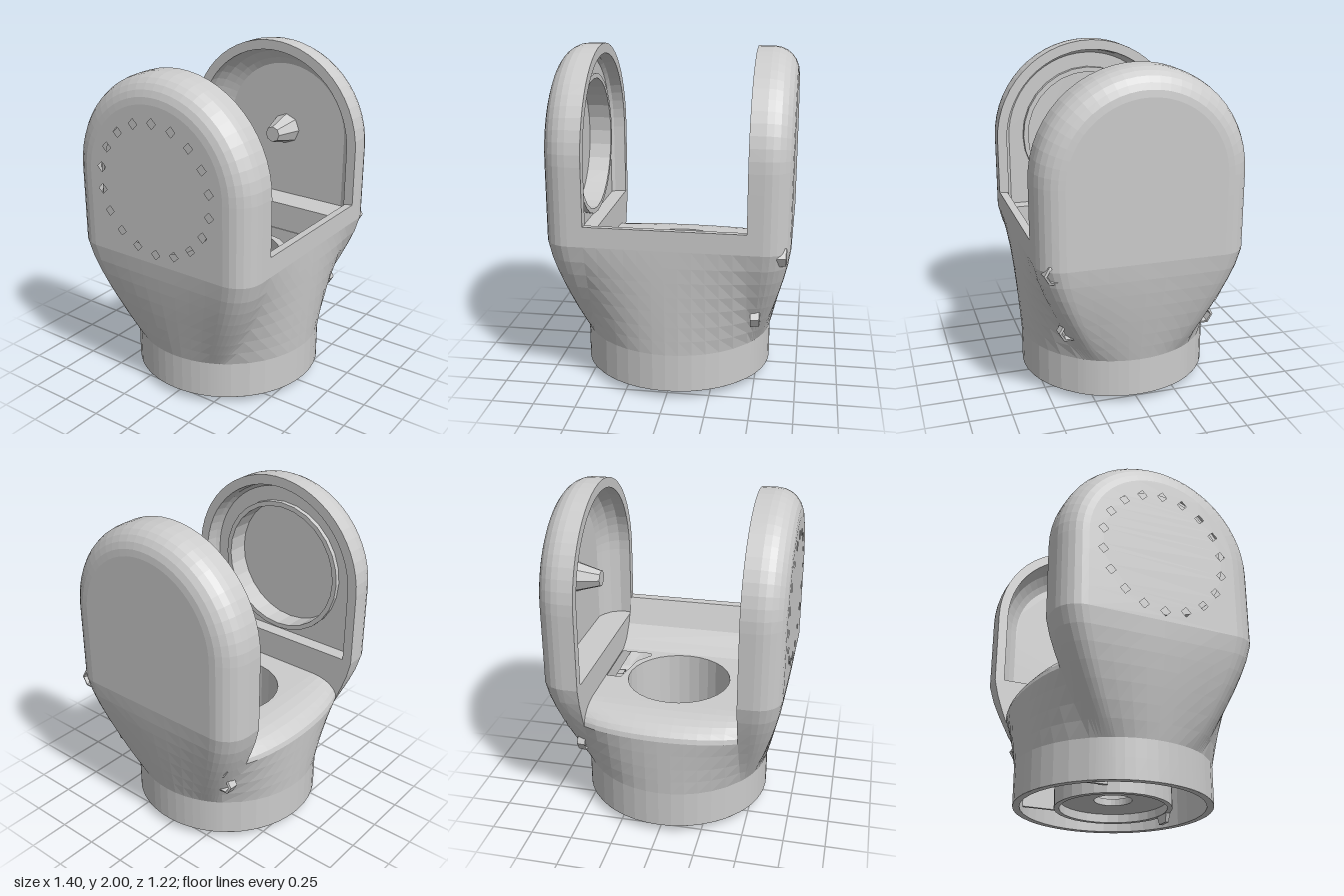
import * as THREE from 'three';

const IN = 0.46, OUT = 0.70, HZ = 0.61, ROUND = 0.15;  // arm inner x, outer x, half depth, edge rounding
const R0 = 0.575, SHOULDER = 0.93, PIVOT = 1.39, BACK = 0.65, DECK = 0.76;

const material = new THREE.MeshStandardMaterial({ color: 0xcccccc, flatShading: true, side: THREE.DoubleSide });

function add(parent, name, geometry) {
  const mesh = new THREE.Mesh(geometry, material);
  mesh.name = name;
  parent.add(mesh);
  return mesh;
}

// Surface over a grid; f(i, j) returns [x, y, z]
function grid(nu, nv, f) {
  const pos = [], idx = [];
  for (let i = 0; i <= nu; i++) for (let j = 0; j <= nv; j++) pos.push(...f(i, j));
  for (let i = 0; i < nu; i++) for (let j = 0; j < nv; j++) {
    const a = i * (nv + 1) + j, b = a + nv + 1;
    idx.push(a, b, a + 1, b, b + 1, a + 1);
  }
  const g = new THREE.BufferGeometry();
  g.setAttribute('position', new THREE.Float32BufferAttribute(pos, 3));
  g.setIndex(idx);
  g.computeVertexNormals();
  return g;
}

// Flat plate in the z-y plane at a given x
function plate(points, holes, x) {
  const toV = (p) => new THREE.Vector2(p[0], p[1]);
  const shape = new THREE.Shape(points.map(toV));
  for (const h of holes) shape.holes.push(new THREE.Path(h.map(toV)));
  const g = new THREE.ShapeGeometry(shape);
  const p = g.attributes.position;
  for (let i = 0; i < p.count; i++) p.setXYZ(i, x, p.getY(i), p.getX(i));
  g.computeVertexNormals();
  return g;
}

// Arch outline as [z, y]: up the front, over the pivot, down the back
function arch(r) {
  const pts = [];
  for (let i = 0; i < 4; i++) pts.push([r, SHOULDER + (PIVOT - SHOULDER) * i / 4]);
  for (let i = 0; i <= 28; i++) {
    const a = Math.PI * i / 28;
    pts.push([r * Math.cos(a), PIVOT + r * Math.sin(a)]);
  }
  for (let i = 3; i >= 0; i--) pts.push([-r, SHOULDER + (PIVOT - SHOULDER) * i / 4]);
  return pts;
}

const circle = (r, n, cz = 0, cy = PIVOT) => Array.from({ length: n }, (_, i) => {
  const a = 2 * Math.PI * i / n;
  return [cz + r * Math.cos(a), cy + r * Math.sin(a)];
});

// Blend from the round collar (0) to the squared shoulder (1)
function blend(y) {
  const t = THREE.MathUtils.clamp((y - 0.28) / (SHOULDER - 0.28), 0, 1);
  return 1 - Math.pow(1 - t, 1.3);
}
const centreZ = (x, y) => THREE.MathUtils.lerp(Math.sqrt(R0 * R0 - x * x), HZ, blend(y));

// Shoulder section of one side, front to back, as [x, z]
const CORNER = 6;
const corner = Array.from({ length: CORNER + 1 }, (_, i) => {
  const a = Math.PI / 2 * i / CORNER;
  return [OUT - ROUND + ROUND * Math.sin(a), HZ - ROUND + ROUND * Math.cos(a)];
});
const sidePath = [[IN, HZ], ...corner];
for (let i = 1; i < 8; i++) sidePath.push([OUT, (HZ - ROUND) * (1 - i / 4)]);
sidePath.push(...[...corner].reverse().map(([x, z]) => [x, -z]), [IN, -HZ]);

function sidePoint(k, y) {
  const [x, z] = sidePath[k], t = blend(y);
  const a = Math.atan2(z, x) * Math.acos(IN / R0) / Math.atan2(HZ, IN);
  return [THREE.MathUtils.lerp(R0 * Math.cos(a), x, t), y, THREE.MathUtils.lerp(R0 * Math.sin(a), z, t)];
}

// Heights of the rows that make up the lower body
const rows = (top) => [0.05, 0.17, 0.28, 0.37, 0.46, 0.56, BACK, 0.74, 0.83, SHOULDER, 1.05].filter((y) => y <= top);

function buildBody(root) {
  const body = new THREE.Group();
  body.name = 'body';
  root.add(body);
  const N = 12, xAt = (i) => -IN + 2 * IN * i / N;
  for (const [name, s, top] of [['frontWall', 1, 1.05], ['backWall', -1, BACK]]) {
    const ys = rows(top);
    add(body, name, grid(N, ys.length - 1, (i, j) => [xAt(i), ys[j], s * centreZ(xAt(i), ys[j])]));
  }
  const ys = rows(SHOULDER);
  for (const s of [1, -1]) {
    add(body, s > 0 ? 'leftFlank' : 'rightFlank', grid(sidePath.length - 1, ys.length - 1, (i, j) => {
      const [x, y, z] = sidePoint(i, ys[j]);
      return [s * x, y, z];
    }));
  }

  // Inside and lower edge of the collar
  add(body, 'collarLining', new THREE.LatheGeometry(
    [[R0, 0.05], [0.535, 0.05], [0.535, 0.3]].map((p) => new THREE.Vector2(...p)), 40));

  // Deck with the well opening and the side notch
  const deck = new THREE.Shape([[-IN, -0.34], [IN, -0.34], [IN, 0.34], [-IN, 0.34]].map((p) => new THREE.Vector2(...p)));
  deck.holes.push(new THREE.Path().absarc(0, 0, 0.325, 0, Math.PI * 2, true));
  deck.holes.push(new THREE.Path([[0.365, 0.06], [0.455, 0.06], [0.455, -0.3], [0.26, -0.3], [0.25, -0.27], [0.32, -0.18]]
    .map((p) => new THREE.Vector2(...p))));
  add(body, 'deck', new THREE.ShapeGeometry(deck, 24).rotateX(-Math.PI / 2).translate(0, DECK, 0));
  const rise = [[0.34, DECK], [0.42, 0.80], [0.49, 0.88], [0.56, 1.045], [HZ, 1.05]];
  add(body, 'deckFrontRise', grid(1, rise.length - 1, (i, j) => [i ? IN : -IN, rise[j][1], rise[j][0]]));
  add(body, 'deckBackRoll', grid(N, 6, (i, j) => {
    const a = Math.PI / 2 * j / 6, zb = centreZ(xAt(i), BACK);
    return [xAt(i), BACK + (DECK - BACK) * Math.cos(a), -0.34 - (zb - 0.34) * Math.sin(a)];
  }));

  // Central well with a bored floor, and the key peg below it
  const well = [[0.11, 0.14], [0.32, 0.14], [0.32, DECK], [0.34, DECK], [0.34, 0.05], [0.31, 0.05], [0.31, 0.1], [0.11, 0.1], [0.11, 0.14]];
  add(body, 'well', new THREE.LatheGeometry(well.map((p) => new THREE.Vector2(...p)), 30));
  const peg = add(body, 'keyPeg', new THREE.CylinderGeometry(0.085, 0.055, 0.06, 4, 1).rotateY(Math.PI / 4));
  peg.scale.z = 0.25;
  peg.position.set(0, 0.03, 0.325);

  // Thin ribs between well and collar
  for (const x of [-0.3, 0.3]) {
    const rib = add(body, 'rib', new THREE.BoxGeometry(0.02, 0.3, 0.28));
    rib.position.set(x, 0.24, -0.31);
  }
}

function buildArm(root, s) {
  const arm = new THREE.Group();
  arm.name = s > 0 ? 'leftArm' : 'rightArm';
  root.add(arm);

  // Outer band with a rounded outer edge
  const layers = [[IN, HZ], ...corner].map(([x, r]) => ({ x, pts: arch(r) }));
  add(arm, 'outerBand', grid(layers[0].pts.length - 1, layers.length - 1, (i, j) => {
    const [z, y] = layers[j].pts[i];
    return [s * layers[j].x, y, z];
  }));

  // Outer face; the right one carries a ring of small slots
  const slots = s > 0 ? [] : Array.from({ length: 18 }, (_, i) => {
    const a = 2 * Math.PI * (i + 0.5) / 18;
    return circle(0.03, 4, 0.38 * Math.cos(a), PIVOT - 0.02 + 0.38 * Math.sin(a));
  });
  add(arm, 'outerFace', plate(arch(HZ - ROUND), slots, s * OUT));

  // Inner rim, continued down to the deck
  const R = 0.55, edge = [BACK, 0.74, 0.83].map((y) => [centreZ(IN, y), y]);
  const rim = [...edge, ...arch(HZ), ...[...edge].reverse().map(([z, y]) => [-z, y])];
  const recess = (r) => arch(r).map(([z, y]) => [z, Math.max(y, SHOULDER + 0.01)]);
  add(arm, 'innerRim', plate(rim, [recess(R)], s * IN));

  // Recess walls from rim to back plate: [x, size]
  const steps = s > 0
    ? [[IN, R], [0.53, R], [0.59, 0.52], [0.63, 0.47], [0.65, 0.43]]
    : [[IN, R], [0.53, 0.54], [0.55, 0.52]];
  const rings = steps.map(([x, r]) => ({ x, pts: recess(r) }));
  const n = rings[0].pts.length;
  add(arm, 'recessWall', grid(n, rings.length - 1, (i, j) => {
    const [z, y] = rings[j].pts[i % n];
    return [s * rings[j].x, y, z];
  }));
  const [backX, backR] = steps[steps.length - 1];

  if (s > 0) {
    // Dished recess with a tapered pivot boss
    add(arm, 'recessPlate', plate(recess(backR), [], backX));
    const boss = add(arm, 'pivotBoss', new THREE.CylinderGeometry(0.05, 0.1, 0.17, 8).rotateZ(Math.PI / 2));
    boss.position.set(0.57, PIVOT, 0);
    // Screw sockets on the outside: [x, y, z]
    for (const [x, y, z] of [[0.665, 0.91, 0.52], [0.52, 0.49, 0.41], [0.52, 0.49, -0.41], [0.575, 0.65, -0.43]]) {
      const socket = add(arm, 'screwSocket', new THREE.LatheGeometry(
        [[0, -0.03], [0.04, -0.03], [0.045, 0.015], [0.06, 0.01], [0.065, -0.04]].map((p) => new THREE.Vector2(...p)), 6));
      socket.rotation.z = -Math.PI / 2;
      socket.position.set(x, y, z);
    }
  } else {
    // Bearing seat: pierced plate, raised lip and deep round pocket
    add(arm, 'seatPlate', plate(recess(backR), [circle(0.40, 28)], -backX));
    const lip = [[0.40, 0], [0.40, 0.03], [0.43, 0.03], [0.43, 0]].map((p) => new THREE.Vector2(...p));
    add(arm, 'seatLip', new THREE.LatheGeometry(lip, 28).rotateZ(-Math.PI / 2)).position.set(-backX, PIVOT, 0);
    add(arm, 'pocketWall', new THREE.CylinderGeometry(0.40, 0.40, 0.11, 28, 1, true).rotateZ(Math.PI / 2))
      .position.set(-0.605, PIVOT, 0);
    add(arm, 'pocketFloor', plate(circle(0.40, 28), [], -0.66));
  }
}

export function createModel() {
  const root = new THREE.Group();
  root.name = 'forkJoint';
  buildBody(root);
  for (const s of [1, -1]) buildArm(root, s);
  return root;
}
